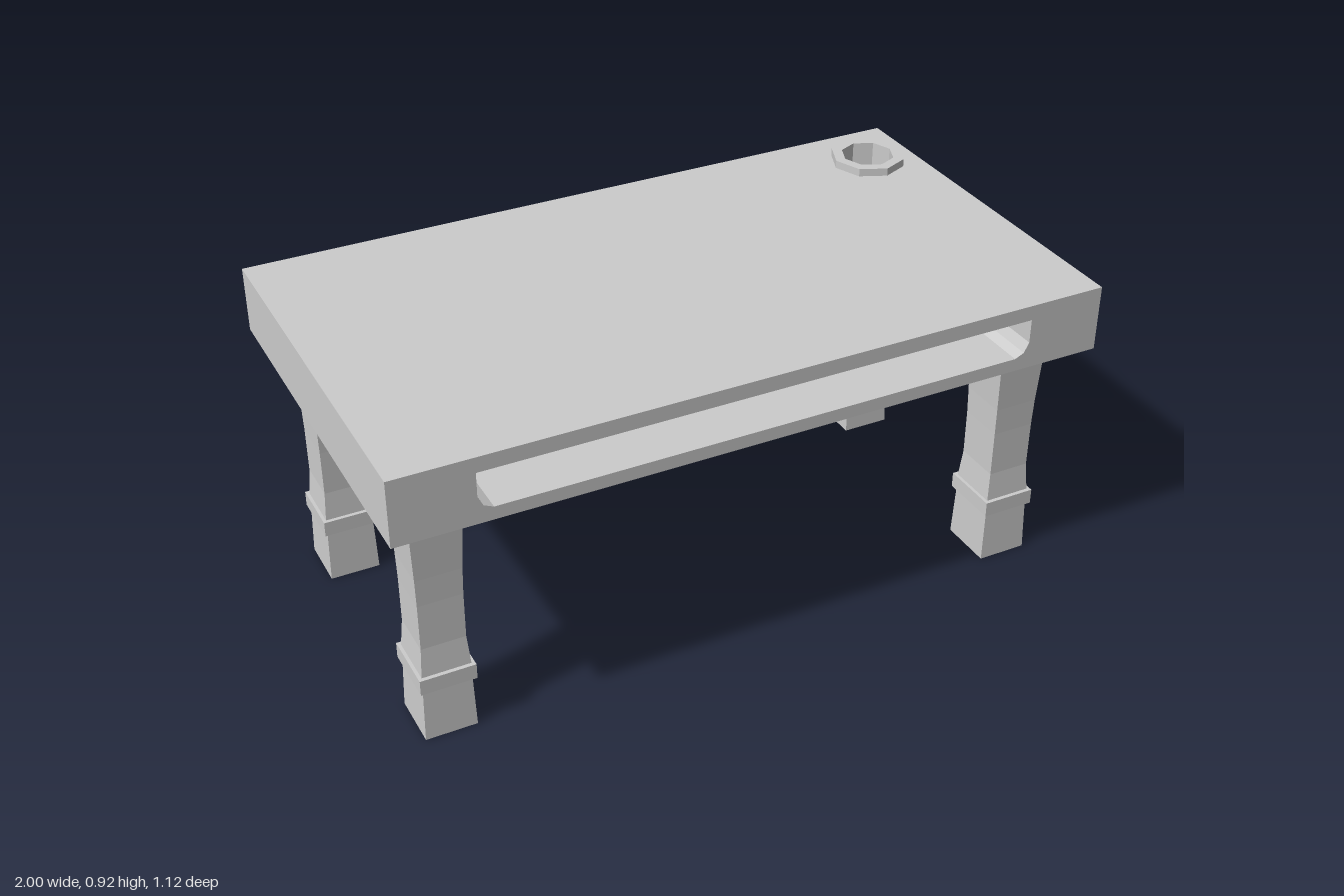
import * as THREE from 'three';

const grey = new THREE.MeshStandardMaterial({ color: 0xcccccc, flatShading: true });

// Flat-sided skin through rings of equally many [x, y, z] points, optionally capped.
function loft(rings, capStart, capEnd) {
  const pos = [];
  const tri = (a, b, c) => pos.push(...a, ...b, ...c);
  for (let r = 0; r + 1 < rings.length; r++) {
    const A = rings[r], B = rings[r + 1], n = A.length;
    for (let i = 0; i < n; i++) {
      const j = (i + 1) % n;
      tri(A[i], A[j], B[j]);
      tri(A[i], B[j], B[i]);
    }
  }
  const first = rings[0], last = rings[rings.length - 1];
  for (let i = 1; i + 1 < first.length; i++) {
    if (capStart) tri(first[0], first[i + 1], first[i]);
    if (capEnd) tri(last[0], last[i], last[i + 1]);
  }
  const geo = new THREE.BufferGeometry();
  geo.setAttribute('position', new THREE.Float32BufferAttribute(pos, 3));
  geo.computeVertexNormals();
  return geo;
}

function part(name, geo, parent) {
  const mesh = new THREE.Mesh(geo, grey);
  mesh.name = name;
  parent.add(mesh);
  return mesh;
}

const panel = (w, h, hole) => {
  const shape = new THREE.Shape([[-w, -h], [w, -h], [w, h], [-w, h]].map(p => new THREE.Vector2(...p)));
  if (hole) shape.holes.push(new THREE.Path(hole.map(p => new THREE.Vector2(...p))));
  return new THREE.ShapeGeometry(shape);
};

export function createModel() {
  const model = new THREE.Group();
  model.name = 'desk';

  const W = 1, D = 0.56, y0 = 0.705, y1 = 0.893;
  const midY = (y0 + y1) / 2, halfH = (y1 - y0) / 2;

  // Octagonal cup holder sunk into the top
  const cup = { x: 0.85, z: -0.376 };
  const octagon = (r, y) => Array.from({ length: 8 }, (_, i) => {
    const a = i * Math.PI / 4;
    return [cup.x + r * 0.96 * Math.cos(a), y, cup.z - r * Math.sin(a)];
  });
  const rimR = 0.112, wellR = 0.08;
  part('cupHolder', loft([
    octagon(rimR, y1), octagon(rimR, 0.916), octagon(wellR, 0.916), octagon(wellR, 0.745)
  ], false, true), model);

  // Tabletop skin: top with the well opening, underside, two ends
  const slab = new THREE.Group();
  slab.name = 'tabletop';
  model.add(slab);
  const top = part('topSurface', panel(W, D, octagon(wellR, 0).map(p => [p[0], -p[2]])), slab);
  top.rotation.x = -Math.PI / 2;
  top.position.y = y1;
  const under = part('underside', panel(W, D), slab);
  under.rotation.x = Math.PI / 2;
  under.position.y = y0;
  for (const s of [-1, 1]) {
    const end = part(s > 0 ? 'leftEnd' : 'rightEnd', panel(D, halfH), slab);
    end.rotation.y = s * Math.PI / 2;
    end.position.set(s * W, midY, 0);
  }

  // Long storage slot in front and back, with eased lower corners
  const sx = 0.78, sTop = 0.85, sBot = 0.742, c = 0.04;
  const half = [[sx - c, sBot], [sx - c * 0.35, sBot + c * 0.3], [sx, sBot + c], [sx, sTop]];
  const slot = [...half, ...half.map(([x, y]) => [-x, y]).reverse()];
  const slotRing = z => slot.map(([x, y]) => [x, y, z]);
  for (const [name, turn] of [['front', 0], ['back', Math.PI]]) {
    const side = new THREE.Group();
    side.name = name + 'Side';
    side.rotation.y = turn;
    slab.add(side);
    const face = part(name + 'Face', panel(W, halfH, slot.map(([x, y]) => [x, y - midY])), side);
    face.position.set(0, midY, D);
    part(name + 'Slot', loft([slotRing(D), slotRing(0.02)], false, true), side);
  }

  // Square legs with a narrowed shaft: [height, width factor]
  const profile = [[0, 1], [0.155, 0.94], [0.2, 0.94], [0.285, 0.85], [0.42, 0.855],
    [0.5, 0.88], [0.6, 0.94], [y0, 1]];
  const legGeo = loft(profile.map(([y, s]) => {
    const x = 0.0715 * s, z = 0.079 * s;
    return [[x, y, z], [x, y, -z], [-x, y, -z], [-x, y, z]];
  }), true, true);
  const collarGeo = new THREE.BoxGeometry(0.153, 0.045, 0.171);
  for (const x of [-1, 1]) for (const z of [-1, 1]) {
    const leg = new THREE.Group();
    leg.name = (z > 0 ? 'front' : 'back') + (x > 0 ? 'Left' : 'Right') + 'Leg';
    leg.position.set(x * 0.852, 0, z * 0.376);
    part('shaft', legGeo, leg);
    part('collar', collarGeo, leg).position.y = 0.178;
    model.add(leg);
  }
  return model;
}
